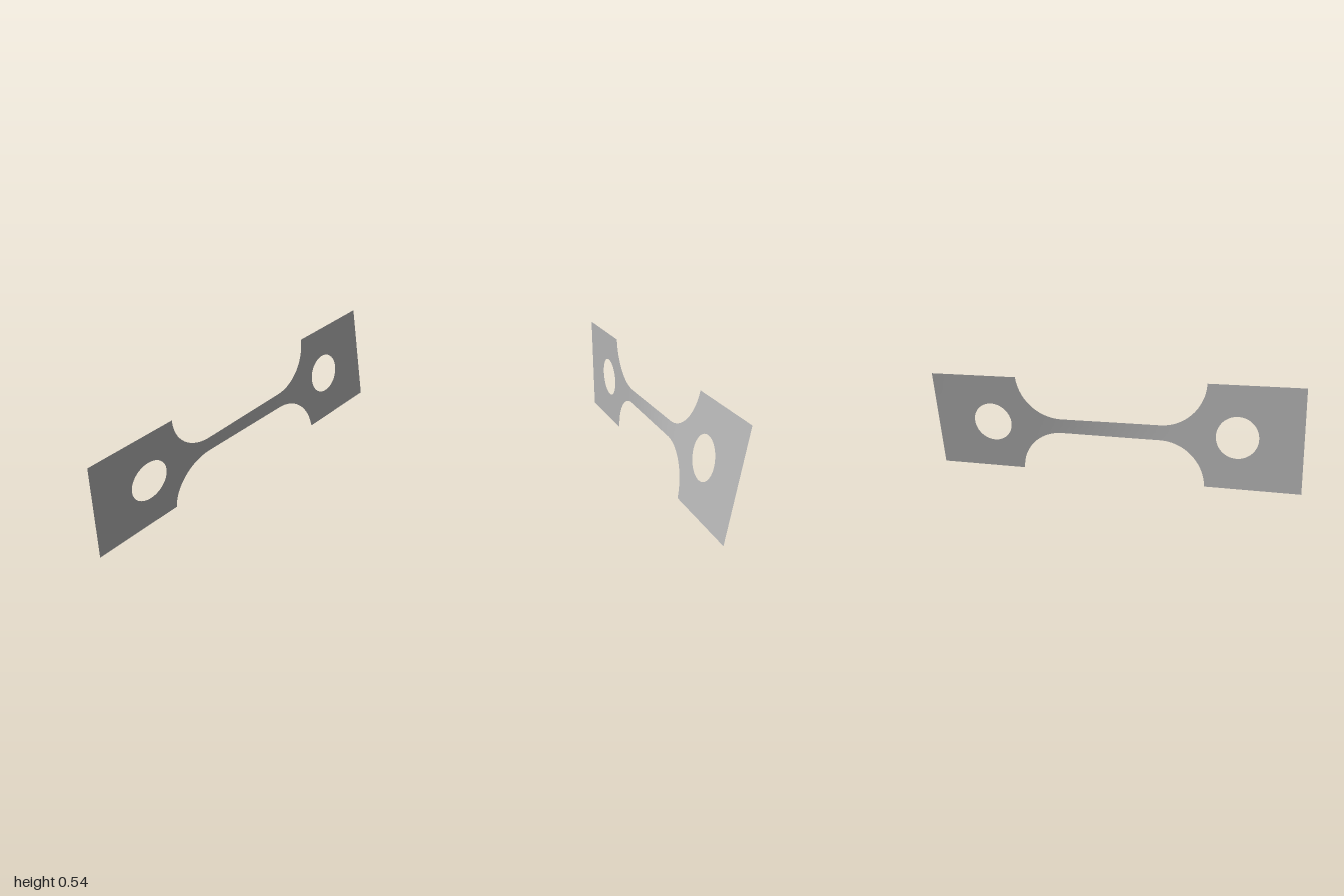
import * as THREE from 'three';

const MID = 0.2707;                                  // height of the long axis
const HALF = 0.2705, NECK = 0.04;                    // half-heights of tab and neck
const NECK_END = 0.27, TAB = 0.51, R = TAB - NECK_END;
const HOLE_X = 0.67, HOLE_R = 0.109;

// Half-height of the outline at x
function outer(x) {
  const a = Math.abs(x);
  if (a <= NECK_END) return NECK;
  if (a >= TAB - 1e-6) return HALF;
  const d = a - NECK_END;
  return Math.min(HALF, NECK + R - Math.sqrt(R * R - d * d));
}

// Half-height of the round hole at x
function inner(x) {
  const d = Math.abs(x) - HOLE_X;
  return Math.sqrt(Math.max(0, HOLE_R * HOLE_R - d * d));
}

// Twist about the long axis, nearly all of it in the neck
function twist(x) {
  const t = THREE.MathUtils.smoothstep(x, -0.42, 0.46);
  const tabTwist = 0.6 * Math.max(0, x - 0.46);
  return THREE.MathUtils.degToRad(-0.8 + 12.3 * t + tabTwist);
}

// Stations along x, denser on the fillets and the hole
function stations() {
  const half = [];
  for (let i = 1; i <= 16; i++) half.push(NECK_END * i / 16);
  for (let i = 1; i <= 24; i++) half.push(NECK_END + R * Math.sin(i / 24 * Math.PI / 2));
  for (let i = 0; i <= 32; i++) half.push(HOLE_X - HOLE_R * Math.cos(i / 32 * Math.PI));
  for (let i = 1; i <= 6; i++) half.push(HOLE_X + HOLE_R + (1 - HOLE_X - HOLE_R) * i / 6);
  return [...half.map(x => -x).reverse(), 0, ...half];
}

// One strip between the inner and outer edges; side is +1 above the axis, -1 below
function strip(side) {
  const xs = stations(), rows = 3, pos = [], idx = [];
  for (const x of xs) {
    const a = twist(x);
    for (let j = 0; j <= rows; j++) {
      const h = side * THREE.MathUtils.lerp(inner(x), outer(x), j / rows);
      pos.push(x, MID + h * Math.cos(a), -h * Math.sin(a));
    }
  }
  const n = rows + 1;
  for (let i = 0; i < xs.length - 1; i++) {
    for (let j = 0; j < rows; j++) {
      const a = i * n + j, b = a + n, c = b + 1, d = a + 1;
      if (side > 0) idx.push(a, b, c, a, c, d);
      else idx.push(a, c, b, a, d, c);
    }
  }
  const g = new THREE.BufferGeometry();
  g.setAttribute('position', new THREE.Float32BufferAttribute(pos, 3));
  g.setIndex(idx);
  g.computeVertexNormals();
  return g;
}

export function createModel() {
  const group = new THREE.Group();
  group.name = 'twistedTestStrip';
  const metal = new THREE.MeshStandardMaterial({ color: 0xb4b4b4, side: THREE.DoubleSide });
  metal.name = 'plain grey metal';
  for (const [name, side] of [['upperHalf', 1], ['lowerHalf', -1]]) {
    const mesh = new THREE.Mesh(strip(side), metal);
    mesh.name = name;
    group.add(mesh);
  }
  return group;
}
